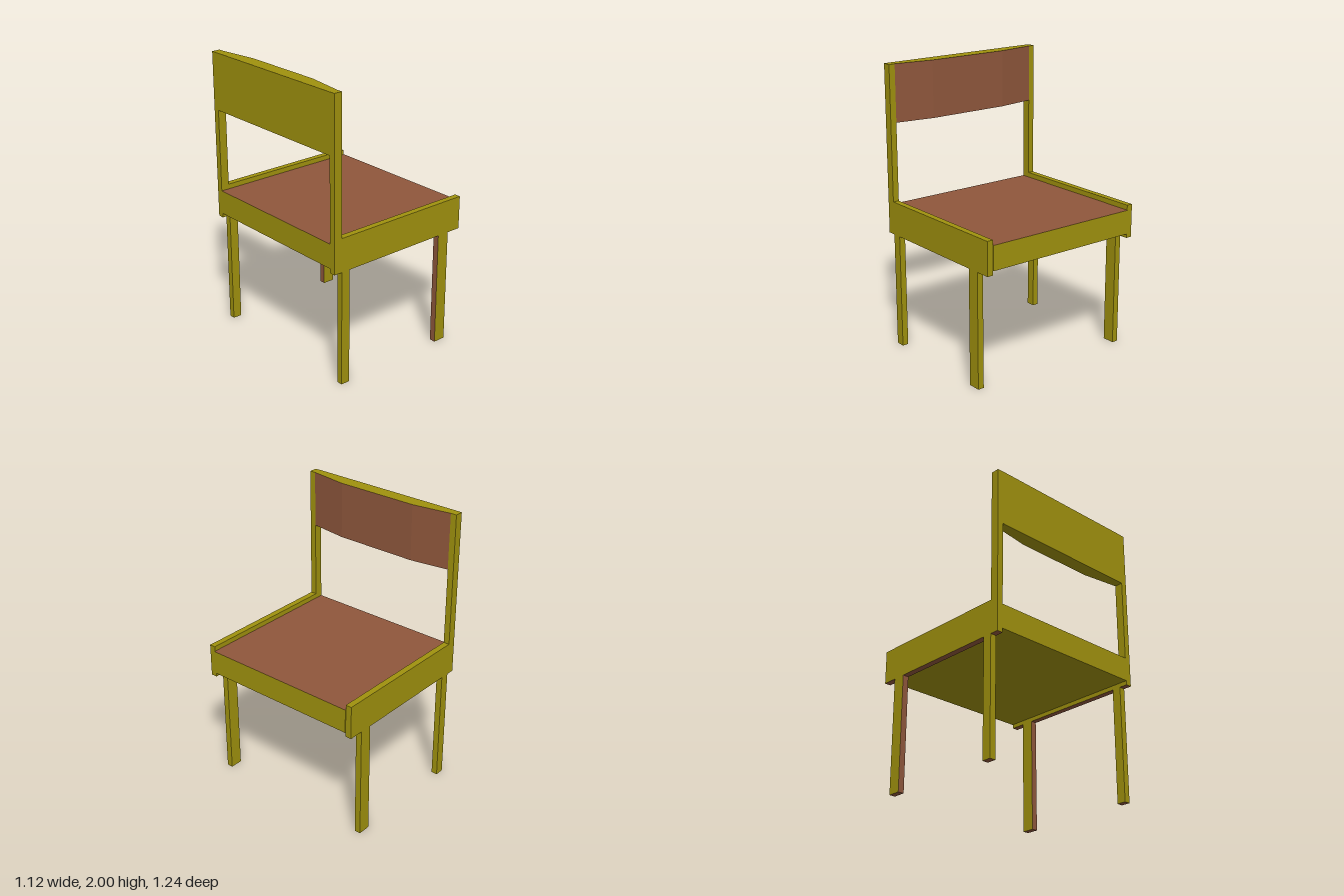
import * as THREE from 'three';

const olive = new THREE.MeshStandardMaterial({ name: 'olive', color: 0xa0920e });
const brown = new THREE.MeshStandardMaterial({ name: 'brown', color: 0x8f573c });

// Box given by its limits; brownFaces lists face indices (+x, -x, +y, -y, +z, -z)
function box(name, [x0, x1], [y0, y1], [z0, z1], brownFaces = []) {
  const materials = [0, 1, 2, 3, 4, 5].map((i) => (brownFaces.includes(i) ? brown : olive));
  const mesh = new THREE.Mesh(new THREE.BoxGeometry(x1 - x0, y1 - y0, z1 - z0), materials);
  mesh.position.set((x0 + x1) / 2, (y0 + y1) / 2, (z0 + z1) / 2);
  mesh.name = name;
  return mesh;
}

// Backrest: flat behind, faceted in front, with a brown front
function backrest() {
  const outline = new THREE.Shape([
    [-0.561, -0.578], [-0.5, -0.578], [-0.46, -0.3], [-0.46, 0.3], [-0.5, 0.578], [-0.561, 0.578],
  ].map(([x, z]) => new THREE.Vector2(x, z)));
  const geometry = new THREE.ExtrudeGeometry(outline, { depth: 0.4, bevelEnabled: false });
  geometry.rotateX(-Math.PI / 2).translate(0, 1.6, 0);
  geometry.clearGroups();
  const normal = geometry.attributes.normal;
  for (let i = 0; i < normal.count; i += 3) {
    geometry.addGroup(i, 3, normal.getX(i) > 0.5 ? 1 : 0);
  }
  const mesh = new THREE.Mesh(geometry, [olive, brown]);
  mesh.name = 'backrest';
  return mesh;
}

export function createModel() {
  const chair = new THREE.Group();
  chair.name = 'chair';

  // Seat slab with a brown top
  chair.add(box('seat', [-0.56, 0.56], [0.845, 1.015], [-0.578, 0.578], [2]));
  chair.add(backrest());

  // Side frames
  for (const side of [-1, 1]) {
    const z = side > 0 ? [0.578, 0.622] : [-0.622, -0.578];
    const frame = new THREE.Group();
    frame.name = side > 0 ? 'nearSideFrame' : 'farSideFrame';
    frame.add(
      box('sideRail', [-0.56, 0.555], [0.815, 1.05], z, [3]),
      box('backPost', [-0.56, -0.5], [1.05, 2], z),
      box('rearLeg', [-0.5, -0.435], [0, 0.815], z, [3]),
      box('frontLeg', [0.36, 0.45], [0, 0.815], z, [1, 3]),
    );
    chair.add(frame);
  }
  return chair;
}
